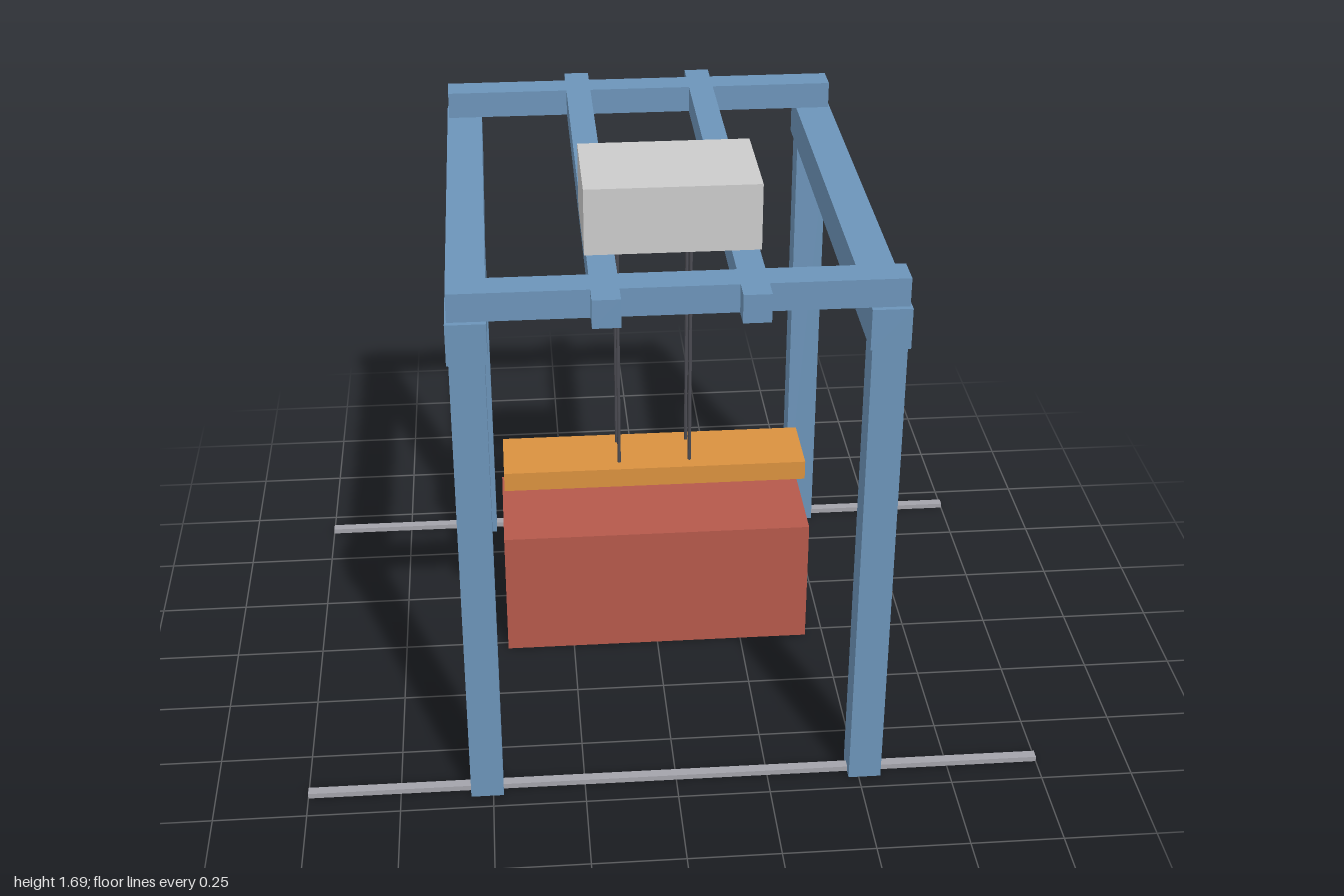
import * as THREE from 'three';

const mat = (color) => new THREE.MeshStandardMaterial({ color, flatShading: true });

export function createModel() {
  const crane = new THREE.Group();
  crane.name = 'gantryCrane';

  const steel = mat(0x6c94b9);
  const track = mat(0xa3a3aa);
  const dark = mat(0x4b4b52);
  const orange = mat(0xd9913f);
  const red = mat(0xb5594b);
  const grey = mat(0xcccccc);

  // Box given by its extents along each axis
  function box(name, material, [x0, x1], [y0, y1], [z0, z1]) {
    const mesh = new THREE.Mesh(new THREE.BoxGeometry(x1 - x0, y1 - y0, z1 - z0), material);
    mesh.position.set((x0 + x1) / 2, (y0 + y1) / 2, (z0 + z1) / 2);
    mesh.name = name;
    crane.add(mesh);
  }
  const around = (centre, size) => [centre - size / 2, centre + size / 2];

  for (const s of [-1, 1]) {
    // Ground tracks and the cross beams above them
    box('groundTrack', track, [-1, 1], [0, 0.015], around(s * 0.665, 0.027));
    box('crossBeam', steel, [-0.56, 0.56], [1.44, 1.515], around(s * 0.664, 0.084));

    // Side beams on the legs, and the trolley rails
    box('sideBeam', steel, around(s * 0.515, 0.1), [1.33, 1.44], [-0.72, 0.72]);
    box('trolleyRail', steel, around(s * 0.18, 0.07), [1.44, 1.515], [-0.765, 0.765]);

    // Legs
    for (const t of [-1, 1])
      box('leg', steel, around(s * 0.516, 0.088), [0, 1.33], around(t * 0.664, 0.084));
  }

  // Machinery house on top of the rails
  box('machineryHouse', grey, [-0.22, 0.22], [1.515, 1.69], [0.22, 0.515]);

  // Trolley, ropes, spreader and the container below
  const loadZ = -0.147;
  box('trolley', dark, [-0.145, 0.145], [1.385, 1.5], around(loadZ, 0.2));
  box('spreader', orange, [-0.44, 0.44], [0.505, 0.563], around(loadZ, 0.203));
  box('container', red, [-0.447, 0.447], [0, 0.385], around(loadZ, 0.355));

  const ropeGeometry = new THREE.CylinderGeometry(0.005, 0.005, 0.825, 8);
  for (const x of [-0.103, 0.103])
    for (const dz of [-0.059, 0.059]) {
      const rope = new THREE.Mesh(ropeGeometry, dark);
      rope.name = 'rope';
      rope.position.set(x, 0.974, loadZ + dz);
      crane.add(rope);
    }

  return crane;
}
